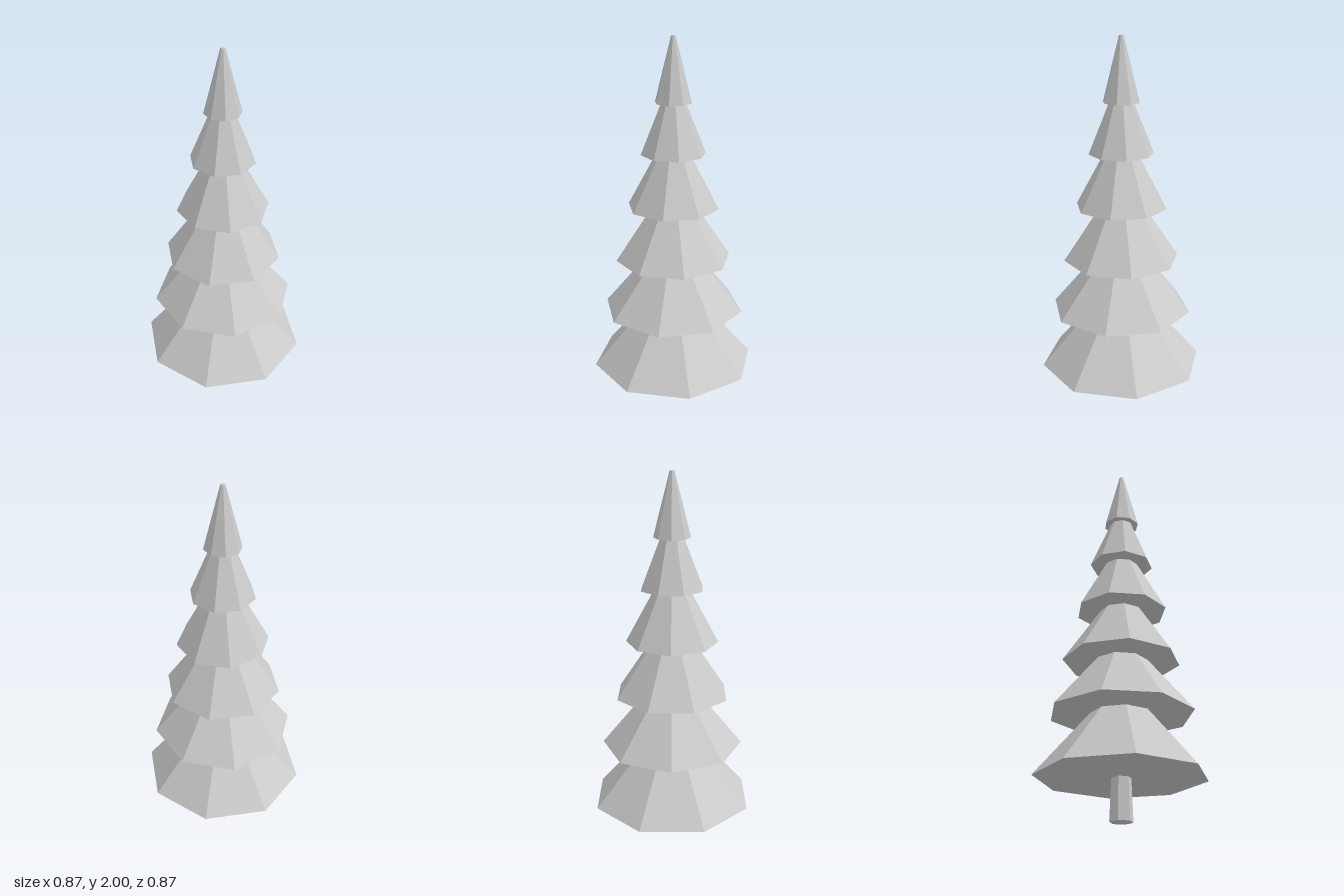
import * as THREE from 'three';

export function createModel() {
  const model = new THREE.Group();
  const material = new THREE.MeshStandardMaterial({ color: 0xcccccc, flatShading: true });

  // Tapered, closed prism standing between two heights
  function frustum(name, rTop, rBottom, y0, y1, sides, turn = 0) {
    const mesh = new THREE.Mesh(
      new THREE.CylinderGeometry(rTop, rBottom, y1 - y0, sides), material);
    mesh.name = name;
    mesh.position.y = (y0 + y1) / 2;
    mesh.rotation.y = turn;
    model.add(mesh);
  }

  // Hexagonal trunk
  frustum('trunk', 0.05, 0.06, 0, 0.23, 6);

  // Octagonal foliage tiers: [bottom height, bottom radius]
  const tiers = [
    [0.215, 0.44], [0.54, 0.378], [0.83, 0.309],
    [1.12, 0.243], [1.405, 0.17], [1.67, 0.096],
  ];
  const overlap = 0.02;
  tiers.forEach(([y, r], i) => {
    const turn = 0.178 - 0.4 * i;
    if (i === tiers.length - 1) {
      frustum('treeTop', 0.012, r, y, 2, 8, turn);
      return;
    }
    // Each tier narrows to 0.37 of its radius where the next begins, then tucks inside it
    const rise = tiers[i + 1][0] - y;
    const rTop = r * (1 - 0.63 * (rise + overlap) / rise);
    frustum('foliageTier' + (i + 1), rTop, r, y, y + rise + overlap, 8, turn);
  });

  return model;
}
